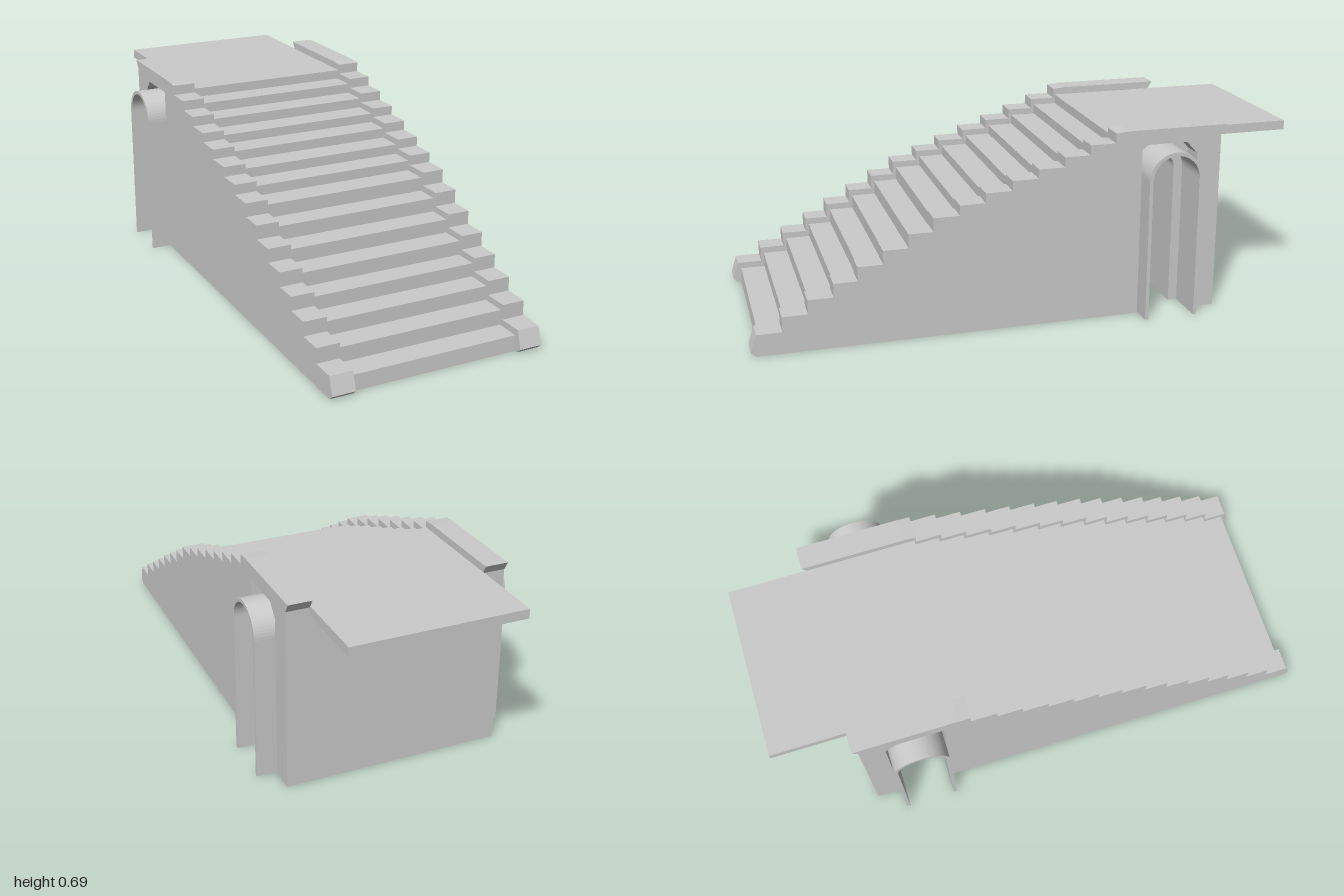
import * as THREE from 'three';

const material = new THREE.MeshStandardMaterial({ color: 0xcccccc, flatShading: true, side: THREE.DoubleSide });
const smooth = new THREE.MeshStandardMaterial({ color: 0xcccccc, side: THREE.DoubleSide });

// heights and front edges of the steps, as seen on the side walls
const heights = [0.08, 0.135, 0.187, 0.237, 0.289, 0.339, 0.39, 0.44, 0.477, 0.513, 0.549, 0.583, 0.619, 0.655, 0.691];
const fronts = [0.98, 0.89, 0.8, 0.71, 0.625, 0.535, 0.445, 0.357, 0.262, 0.17, 0.073, -0.022, -0.117, -0.211, -0.305];
const archZ = -0.51, archY = 0.524, backZ = -0.707;

// extrude a (z, y) outline across x, centred on x = cx
function slab(name, points, width, cx, mat = material) {
  const shape = new THREE.Shape(points.map(([z, y]) => new THREE.Vector2(z, y)));
  const geo = new THREE.ExtrudeGeometry(shape, { depth: width, bevelEnabled: false });
  geo.translate(0, 0, -width / 2).rotateY(-Math.PI / 2).translate(cx, 0, 0);
  const mesh = new THREE.Mesh(geo, mat);
  mesh.name = name;
  return mesh;
}

// stair-shaped outline, shifted back and down
function steps(dz, dy) {
  const pts = [];
  heights.forEach((h, i) => {
    if (i > 0) pts.push([fronts[i] - dz, heights[i - 1] - dy]);
    pts.push([fronts[i] - dz, h - dy]);
  });
  return pts;
}

// upside-down U, running from the back leg to the front leg
function arch(r, n = 20) {
  const pts = [[archZ - r, 0]];
  for (let i = 0; i <= n; i++) {
    const a = Math.PI - (Math.PI * i) / n;
    pts.push([archZ + r * Math.cos(a), archY + r * Math.sin(a)]);
  }
  pts.push([archZ + r, 0]);
  return pts;
}

export function createModel() {
  const group = new THREE.Group();

  // stair body with an arched passage through it
  group.add(slab('stairBody', [
    [0.97, 0], ...steps(0.012, 0.023), [backZ, 0.668], [backZ, 0], ...arch(0.054),
  ], 0.626, 0));

  // landing that overhangs the back
  const landing = new THREE.Mesh(new THREE.BoxGeometry(0.626, 0.034, 0.69), material);
  landing.position.set(0, 0.651, -0.655);
  landing.name = 'landing';
  group.add(landing);

  for (const [side, s] of [['left', 1], ['right', -1]]) {
    // stepped side wall with a recess for the arch
    group.add(slab(side + 'SideWall', [
      [0.982, 0], [1, 0.016], ...steps(0, 0), [-0.35, 0.695],
      [-0.727, 0.695], [-0.707, 0.662], [backZ, 0],
      [-0.617, 0], [-0.617, 0.595], [-0.575, 0.64], [-0.405, 0.64], [-0.405, 0],
    ], 0.084, s * 0.354));

    // thin arched hood standing out from the wall
    group.add(slab(side + 'ArchHood', [...arch(0.101, 28), ...arch(0.088, 28).reverse()], 0.157, s * 0.3885, smooth));
  }
  return group;
}
